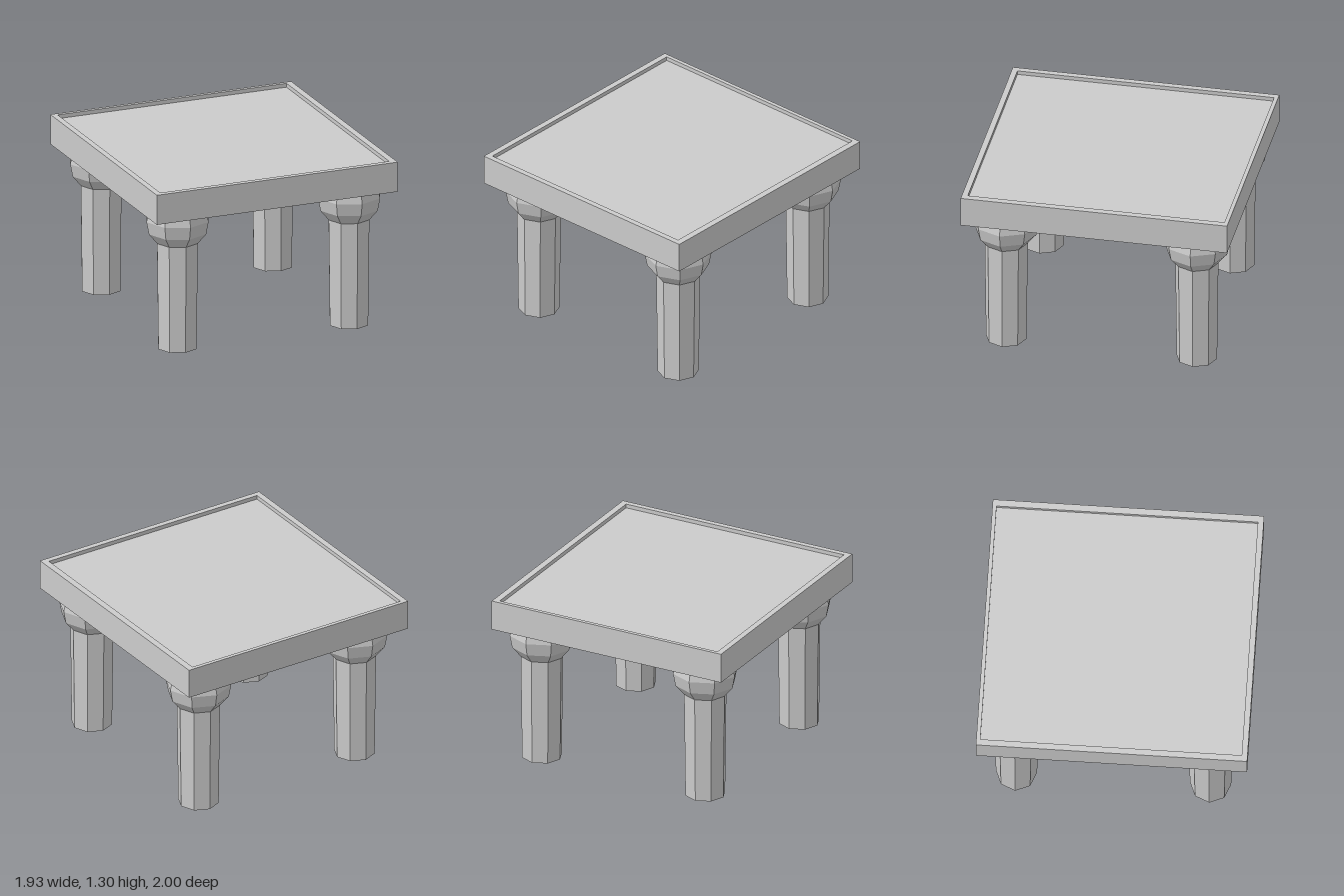
import * as THREE from 'three';

const material = new THREE.MeshStandardMaterial({ color: 0xcccccc, flatShading: true });

// Faceted solid turned from a [radius, height] profile, listed from bottom to top
function turned(profile, sides, start = 0) {
  return new THREE.LatheGeometry(profile.map(([r, y]) => new THREE.Vector2(r, y)), sides, start);
}

// Square slab with a shallow tray sunk into its top, as a four-sided turning
function createTop() {
  const outer = Math.SQRT2, inner = 0.95 * Math.SQRT2;
  const geometry = turned([
    [0, 1.075], [outer, 1.075], [outer, 1.305],
    [inner, 1.305], [inner, 1.275], [0, 1.275],
  ], 4, Math.PI / 4);

  // Stretch to size; the tray sits slightly off centre
  const p = geometry.attributes.position;
  for (let i = 0; i < p.count; i++) {
    const x = p.getX(i), z = p.getZ(i);
    if (Math.abs(x) > 0.99) p.setX(i, Math.sign(x) * 0.963);
    else if (Math.abs(x) > 0.5) {
      p.setX(i, x > 0 ? 0.913 : -0.917);
      p.setZ(i, z > 0 ? 0.957 : -0.97);
    }
  }
  geometry.computeVertexNormals();
  const top = new THREE.Mesh(geometry, material);
  top.name = 'tableTop';
  return top;
}

export function createModel() {
  const model = new THREE.Group();
  model.name = 'table';
  model.add(createTop());

  // Octagonal legs with a bulging head
  const legGeometry = turned([
    [0, 0], [0.152, 0], [0.162, 0.822], [0.228, 0.902],
    [0.247, 1.0], [0.229, 1.076], [0, 1.076],
  ], 8);
  for (const [side, x] of [['Left', 0.696], ['Right', -0.676]]) {
    for (const [end, z] of [['front', 0.712], ['back', -0.719]]) {
      const leg = new THREE.Mesh(legGeometry, material);
      leg.name = `${end}${side}Leg`;
      leg.position.set(x, 0, z);
      model.add(leg);
    }
  }
  return model;
}
